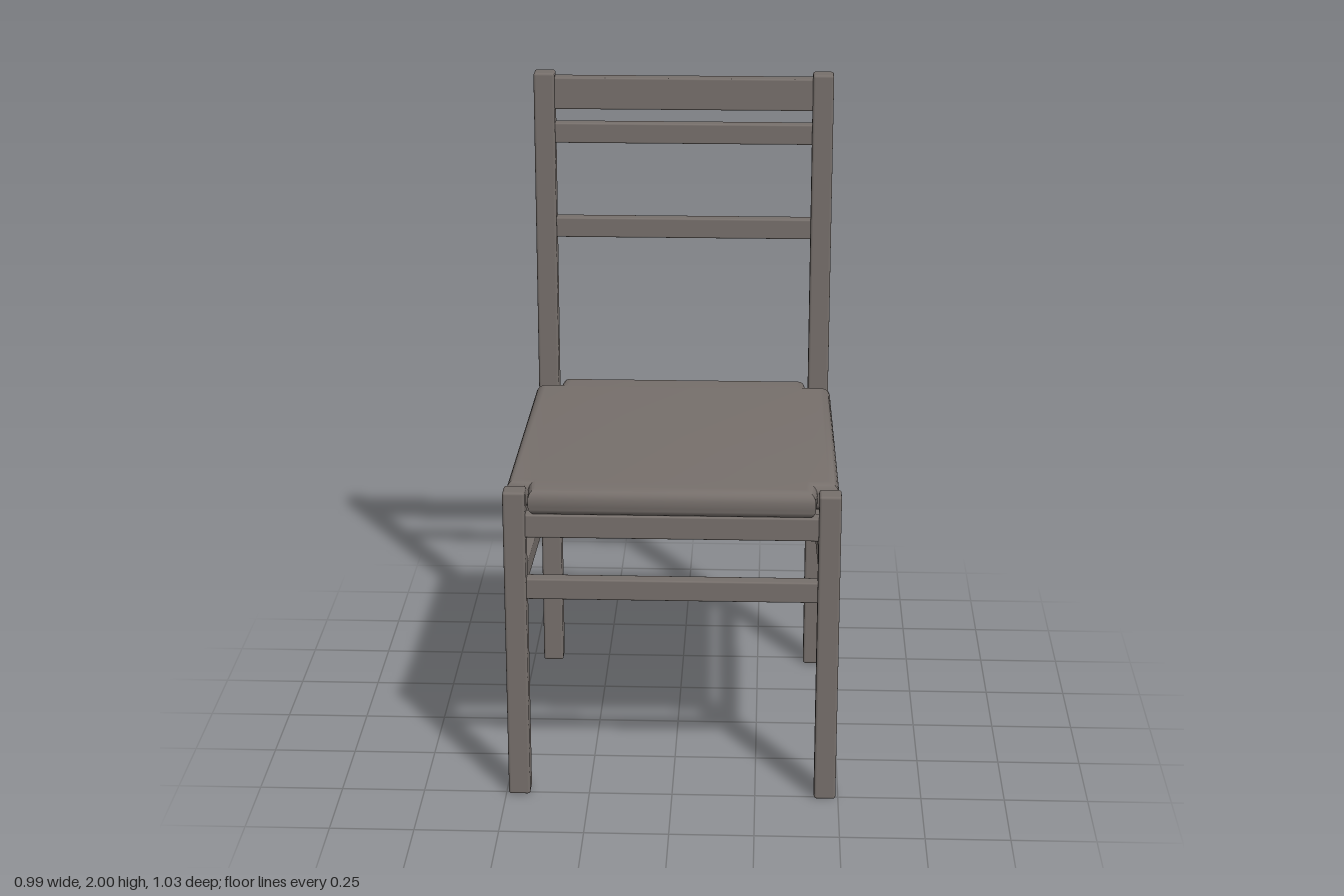
import * as THREE from 'three';
import { toCreasedNormals } from 'three/addons/utils/BufferGeometryUtils.js';
import { RoundedBoxGeometry } from 'three/addons/geometries/RoundedBoxGeometry.js';

const FRONT = { x: 0.46, z: 0.483 };
const BACK = { x: 0.435, z: -0.483 };
const LEG = 0.065;

export function createModel() {
  const chair = new THREE.Group();
  chair.name = 'chair';
  const wood = new THREE.MeshStandardMaterial({ color: 0x766f6b });
  wood.name = 'taupe';

  function add(name, geometry, x = 0, y = 0, z = 0) {
    const mesh = new THREE.Mesh(geometry, wood);
    mesh.name = name;
    mesh.position.set(x, y, z);
    chair.add(mesh);
    return mesh;
  }

  // Square bar between two posts at the given height range
  function bar(name, a, b, y0, y1, depth) {
    const dx = b.x - a.x, dz = b.z - a.z;
    const length = Math.hypot(dx, dz) - LEG + 0.01;
    const mesh = add(name, new RoundedBoxGeometry(length, y1 - y0, depth, 2, 0.005),
      (a.x + b.x) / 2, (y0 + y1) / 2, (a.z + b.z) / 2);
    mesh.rotation.y = Math.atan2(-dz, dx);
  }
  const mirror = (p) => ({ x: -p.x, z: p.z });

  // Legs: the back pair runs up to carry the backrest
  for (const s of [-1, 1]) {
    const side = s > 0 ? 'left' : 'right';
    add(side + 'FrontLeg', new RoundedBoxGeometry(LEG, 0.975, LEG, 2, 0.008), s * FRONT.x, 0.4875, FRONT.z);
    add(side + 'BackPost', new RoundedBoxGeometry(LEG, 2, LEG, 2, 0.008), s * BACK.x, 1, BACK.z);
  }

  // Seat rails and lower stretchers on all four sides
  const sides = [
    ['front', mirror(FRONT), FRONT],
    ['back', mirror(BACK), BACK],
    ['left', FRONT, BACK],
    ['right', mirror(FRONT), mirror(BACK)],
  ];
  for (const [side, a, b] of sides) {
    bar(side + 'Rail', a, b, 0.832, 0.903, 0.046);
    bar(side + 'Stretcher', a, b, 0.636, 0.7, 0.042);
  }

  // Backrest slats
  bar('topSlat', mirror(BACK), BACK, 1.885, 1.985, 0.05);
  bar('upperSlat', mirror(BACK), BACK, 1.776, 1.84, 0.042);
  bar('lowerSlat', mirror(BACK), BACK, 1.47, 1.534, 0.042);

  // Seat cushion: tapered pad, notched around the four posts
  const half = [
    [0.418, 0.515], [0.423, 0.447], [0.487, 0.441],
    [0.474, -0.434], [0.462, -0.449], [0.4, -0.451], [0.392, -0.515],
  ];
  const outline = [...half, ...half.map(([x, z]) => [-x, z]).reverse()];
  const shape = new THREE.Shape(outline.map(([x, z]) => new THREE.Vector2(x, -z)));
  const bevel = 0.032;
  const pad = new THREE.ExtrudeGeometry(shape, {
    depth: 0.085 - 2 * bevel, bevelEnabled: true, bevelThickness: bevel,
    bevelSize: bevel, bevelOffset: -bevel, bevelSegments: 5,
  });
  pad.rotateX(-Math.PI / 2);
  add('seatCushion', toCreasedNormals(pad, 0.7), 0, 0.9 + bevel, 0);

  return chair;
}
